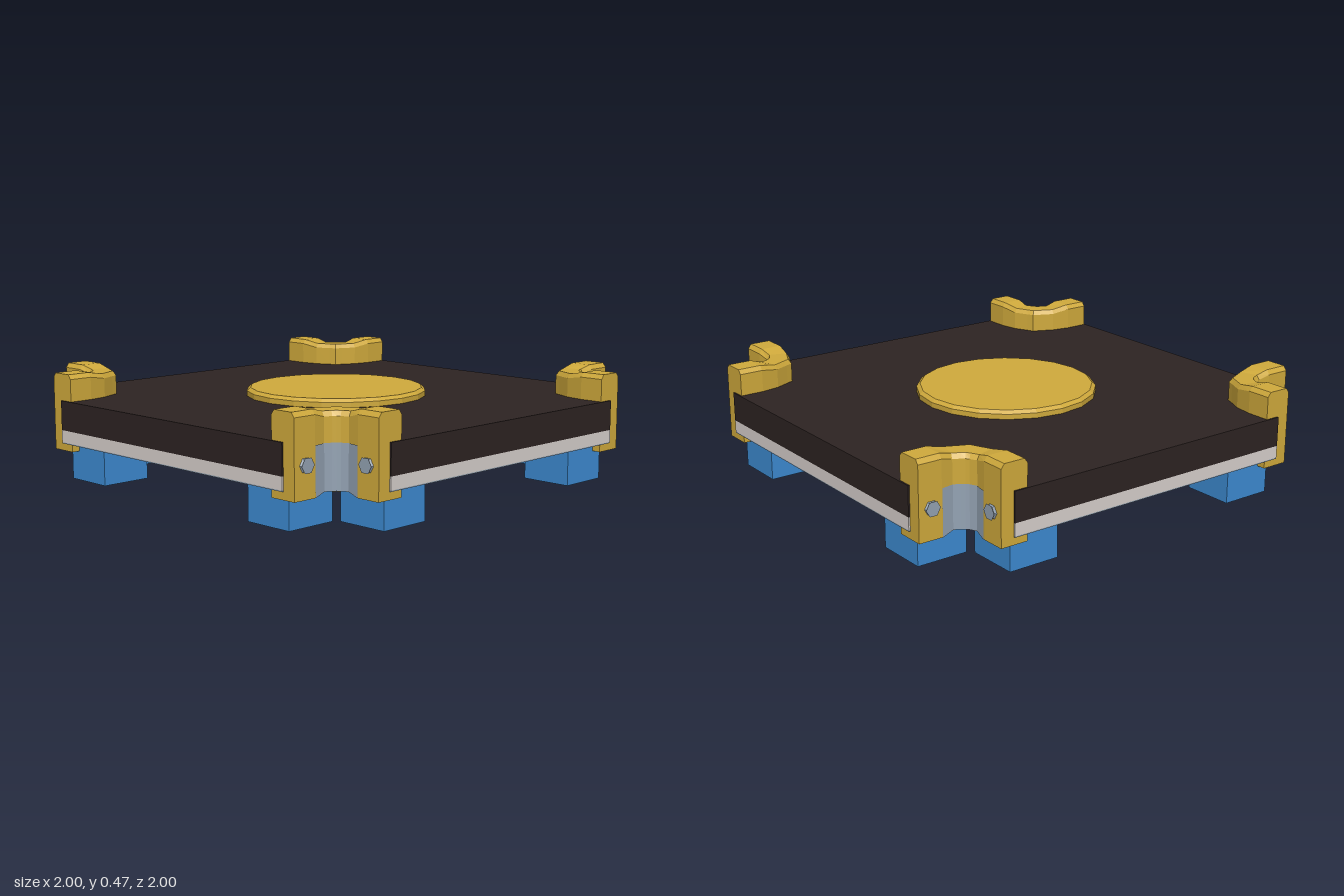
import * as THREE from 'three';

const mat = (name, color) => Object.assign(new THREE.MeshStandardMaterial({ color }), { name });

// Half of the corner bracket in plan: inner point, outer point, height inset
const half = [
  [0.993, 0.645, 0.993, 0.77, 0],
  [0.885, 0.645, 0.885, 0.77, 0],
  [0.80, 0.66, 0.83, 0.762, 0.015],
  [0.735, 0.69, 0.80, 0.776, 0.015],
];
const swap = ([a, b, c, d, e]) => [b, a, d, c, e];
const stations = [...half, [0.703, 0.703, 0.787, 0.787, 0.015], ...half.slice().reverse().map(swap)];

// Point at fraction u across the band, inner 0 to outer 1
const across = ([ix, iz, ox, oz], u) => [ix + (ox - ix) * u, iz + (oz - iz) * u];

// Clip-shaped cross-section that grips the slab edge
const section = (e) => [
  [0, 0.13 + e], [1, 0.13 + e], [1, 0.452 - e], [0.88, 0.472 - e], [0.12, 0.472 - e],
  [0, 0.452 - e], [0, 0.353], [0.52, 0.353], [0.52, 0.165], [0, 0.165],
];

// Sweep cross-sections along the stations with flat facets
function sweep(list, sectionAt, closed) {
  const pos = [];
  const rings = list.map((s) => sectionAt(s[4]).map(([u, y]) => {
    const [x, z] = across(s, u);
    return [x, y, z];
  }));
  const tri = (a, b, c) => pos.push(...a, ...b, ...c);
  const n = rings[0].length;
  for (let i = 0; i < rings.length - 1; i++) {
    for (let j = 0; j < (closed ? n : n - 1); j++) {
      const k = (j + 1) % n;
      const a = rings[i][j], b = rings[i][k], c = rings[i + 1][k], d = rings[i + 1][j];
      tri(a, b, c);
      tri(a, c, d);
    }
  }
  if (closed) {
    const contour = sectionAt(0).map(([u, y]) => new THREE.Vector2(u, y));
    const last = rings[rings.length - 1];
    for (const [a, b, c] of THREE.ShapeUtils.triangulateShape(contour, [])) {
      tri(rings[0][a], rings[0][c], rings[0][b]);
      tri(last[a], last[b], last[c]);
    }
  }
  const geo = new THREE.BufferGeometry();
  geo.setAttribute('position', new THREE.Float32BufferAttribute(pos, 3));
  geo.computeVertexNormals();
  return geo;
}

// Square slab outline with hollowed corners
function slabShape() {
  const corner = stations.map((s) => new THREE.Vector2(...across(s, 0.52)));
  corner[0].x = 1;
  corner[corner.length - 1].y = 1;
  const pts = [];
  const origin = new THREE.Vector2();
  for (let k = 0; k < 4; k++) {
    for (const p of corner) pts.push(p.clone().rotateAround(origin, k * Math.PI / 2));
  }
  return new THREE.Shape(pts);
}

export function createModel() {
  const gold = mat('gold', 0xd0aa3c);
  const dark = mat('darkBrown', 0x2d2322);
  const pale = mat('paleGrey', 0xd8d1cd);
  const steel = mat('steelGrey', 0x94a3b3);
  const blue = mat('blue', 0x3d8bd2);

  const model = new THREE.Group();
  const add = (parent, name, geo, material) => {
    const mesh = new THREE.Mesh(geo, material);
    mesh.name = name;
    parent.add(mesh);
    return mesh;
  };

  // Layered slab
  const shape = slabShape();
  const layer = (name, y0, y1, material) => {
    const geo = new THREE.ExtrudeGeometry(shape, { depth: y1 - y0, bevelEnabled: false });
    geo.rotateX(-Math.PI / 2).translate(0, y0, 0);
    add(model, name, geo, material);
  };
  layer('bottomSheet', 0.163, 0.168, steel);
  layer('lowerSlab', 0.168, 0.222, pale);
  layer('upperSlab', 0.222, 0.353, dark);

  // Raised central disc with a chamfered rim
  const discProfile = [[0.405, 0.35], [0.405, 0.376], [0.388, 0.39], [0, 0.39]];
  const disc = new THREE.LatheGeometry(discProfile.map((p) => new THREE.Vector2(...p)), 20).toNonIndexed();
  disc.computeVertexNormals();
  add(model, 'centreDisc', disc, gold);

  // Shared corner geometries
  const bracketGeo = sweep(stations, section, true);
  const panelGeo = sweep(stations.slice(1, -1), (e) => [[1.03, 0.131 + e], [1.03, 0.335]], false);
  const boltProfile = [[0.034, -0.002], [0.022, 0.007], [0.034, 0.015], [0, 0.015]];
  const boltGeo = new THREE.LatheGeometry(boltProfile.map((p) => new THREE.Vector2(...p)), 6).toNonIndexed();
  boltGeo.computeVertexNormals();
  boltGeo.rotateY(Math.PI / 6).rotateX(Math.PI / 2);
  const footGeo = new THREE.BoxGeometry(0.233, 0.164, 0.233);

  // Four corners, each with bracket, panel, bolts and feet
  for (let k = 0; k < 4; k++) {
    const corner = new THREE.Group();
    corner.name = 'corner' + (k + 1);
    corner.rotation.y = k * Math.PI / 2;
    add(corner, 'bracket', bracketGeo, gold);
    add(corner, 'bracketPanel', panelGeo, steel);
    add(corner, 'boltA', boltGeo, steel).position.set(0.935, 0.265, 0.77);
    const boltB = add(corner, 'boltB', boltGeo, steel);
    boltB.position.set(0.77, 0.265, 0.935);
    boltB.rotation.y = Math.PI / 2;
    add(corner, 'footA', footGeo, blue).position.set(0.838, 0.082, 0.582);
    add(corner, 'footB', footGeo, blue).position.set(0.582, 0.082, 0.838);
    model.add(corner);
  }
  steel.side = THREE.DoubleSide;
  return model;
}
